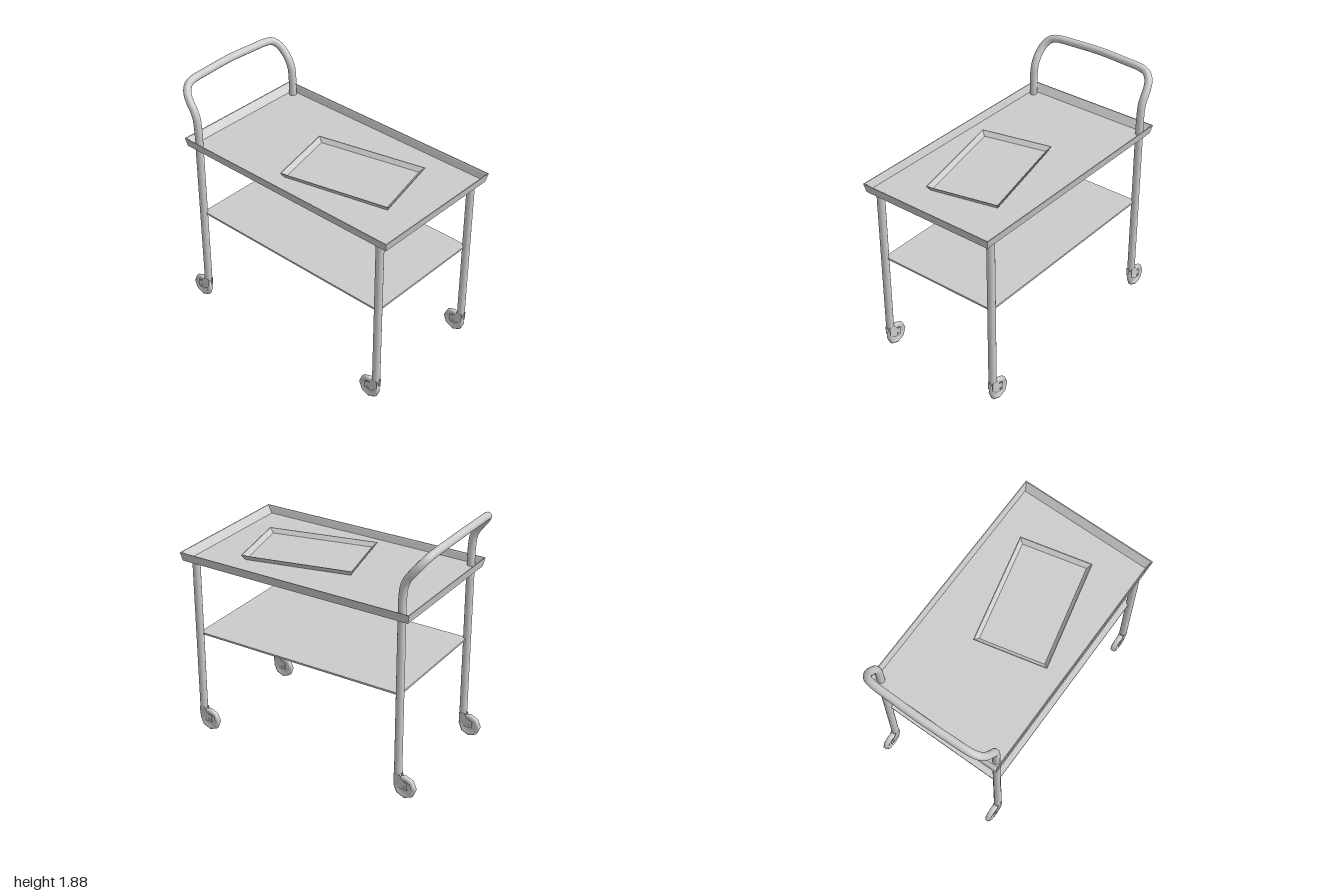
import * as THREE from 'three';

const grey = () => new THREE.MeshStandardMaterial({ color: 0xcccccc });
const flat = () => new THREE.MeshStandardMaterial({ color: 0xcccccc, flatShading: true });

function add(parent, name, geometry, material = grey()) {
  const mesh = new THREE.Mesh(geometry, material);
  mesh.name = name;
  parent.add(mesh);
  return mesh;
}

// Solid skinned over rectangular rings [halfX, halfZ, y], closed at the first and last ring
function rectangularLoft(rings) {
  const corners = rings.map(([x, z, y]) => [[x, y, z], [x, y, -z], [-x, y, -z], [-x, y, z]]);
  const pos = [];
  const quad = (a, b, c, d) => pos.push(...a, ...b, ...c, ...a, ...c, ...d);
  for (let i = 0; i < rings.length - 1; i++) {
    for (let j = 0; j < 4; j++) {
      const k = (j + 1) % 4;
      quad(corners[i][j], corners[i][k], corners[i + 1][k], corners[i + 1][j]);
    }
  }
  const [a, b, c, d] = corners[0];
  quad(d, c, b, a);
  quad(...corners[corners.length - 1]);
  const geo = new THREE.BufferGeometry();
  geo.setAttribute('position', new THREE.Float32BufferAttribute(pos, 3));
  geo.computeVertexNormals();
  return geo;
}

const LEG_Z = 0.49;
const LEG_X = [-0.805, 0.9];

function createCaster() {
  const caster = new THREE.Group();
  caster.name = 'caster';

  // Eight-sided wheel with a thick tyre and a recessed hub
  const profile = [[0, -0.01], [0.05, -0.01], [0.058, -0.019], [0.076, -0.021], [0.088, -0.012],
    [0.088, 0.012], [0.076, 0.021], [0.058, 0.019], [0.05, 0.01], [0, 0.01]];
  const wheel = add(caster, 'wheel',
    new THREE.LatheGeometry(profile.map(([r, y]) => new THREE.Vector2(r, y)), 8));
  wheel.rotation.x = Math.PI / 2;
  wheel.position.set(-0.058, 0.09, 0);

  // Fork plates on both sides of the wheel, leaning back to the axle
  const plate = new THREE.Shape([[0.025, 0.185], [-0.025, 0.185], [-0.04, 0.15], [-0.085, 0.13],
    [-0.085, 0.075], [-0.025, 0.078], [0.022, 0.115]].map(([x, y]) => new THREE.Vector2(x, y)));
  for (const side of [-1, 1]) {
    const geo = new THREE.ExtrudeGeometry(plate, { depth: 0.004, bevelEnabled: false });
    add(caster, 'forkPlate', geo, flat()).position.z = side * 0.021 - 0.002;
  }

  const axle = add(caster, 'axle', new THREE.CylinderGeometry(0.009, 0.009, 0.056, 8));
  axle.rotation.x = Math.PI / 2;
  axle.position.set(-0.058, 0.095, 0);

  // Swivel stem into the leg
  add(caster, 'stem', new THREE.CylinderGeometry(0.023, 0.023, 0.05, 12)).position.y = 0.19;
  return caster;
}

export function createModel() {
  const cart = new THREE.Group();
  cart.name = 'servingCart';

  // Legs and casters
  for (const x of LEG_X) {
    const top = x < 0 ? 1.5 : 1.4;
    for (const z of [-LEG_Z, LEG_Z]) {
      const leg = add(cart, 'leg', new THREE.CylinderGeometry(0.029, 0.029, top - 0.19, 16));
      leg.position.set(x, (top + 0.19) / 2, z);
      const caster = createCaster();
      caster.position.set(x, 0, z);
      cart.add(caster);
    }
  }

  // Push handle: one half of the path, mirrored in z
  const half = [[-0.805, 1.49, 0.49], [-0.808, 1.56, 0.49], [-0.817, 1.63, 0.49],
    [-0.84, 1.685, 0.49], [-0.872, 1.73, 0.488], [-0.916, 1.787, 0.472],
    [-0.944, 1.826, 0.436], [-0.955, 1.842, 0.39], [-0.963, 1.852, 0.2]];
  const path = [...half, [-0.967, 1.857, 0], ...half.map(([x, y, z]) => [x, y, -z]).reverse()];
  const curve = new THREE.CatmullRomCurve3(path.map((p) => new THREE.Vector3(...p)), false, 'centripetal');
  add(cart, 'handle', new THREE.TubeGeometry(curve, 90, 0.029, 16));

  // Top tray with flared rim and sunken floor
  const tray = add(cart, 'topTray', rectangularLoft([
    [0.932, 0.536, 1.392], [0.945, 0.55, 1.458], [0.938, 0.543, 1.458],
    [0.932, 0.538, 1.45], [0.895, 0.523, 1.404]]), flat());
  tray.position.x = 0.055;

  // Lower shelf, its corners meeting the legs
  const shelf = add(cart, 'lowerShelf', new THREE.BoxGeometry(LEG_X[1] - LEG_X[0], 0.014, LEG_Z * 2));
  shelf.position.set((LEG_X[0] + LEG_X[1]) / 2, 0.812, 0);

  // Small loose tray lying askew on the top
  const small = add(cart, 'smallTray', rectangularLoft([
    [0.4, 0.255, 0], [0.426, 0.277, 0.038], [0.42, 0.271, 0.038], [0.39, 0.245, 0.008]]), flat());
  small.position.set(0.266, 1.405, 0.035);
  small.rotation.y = 0.225;

  return cart;
}
